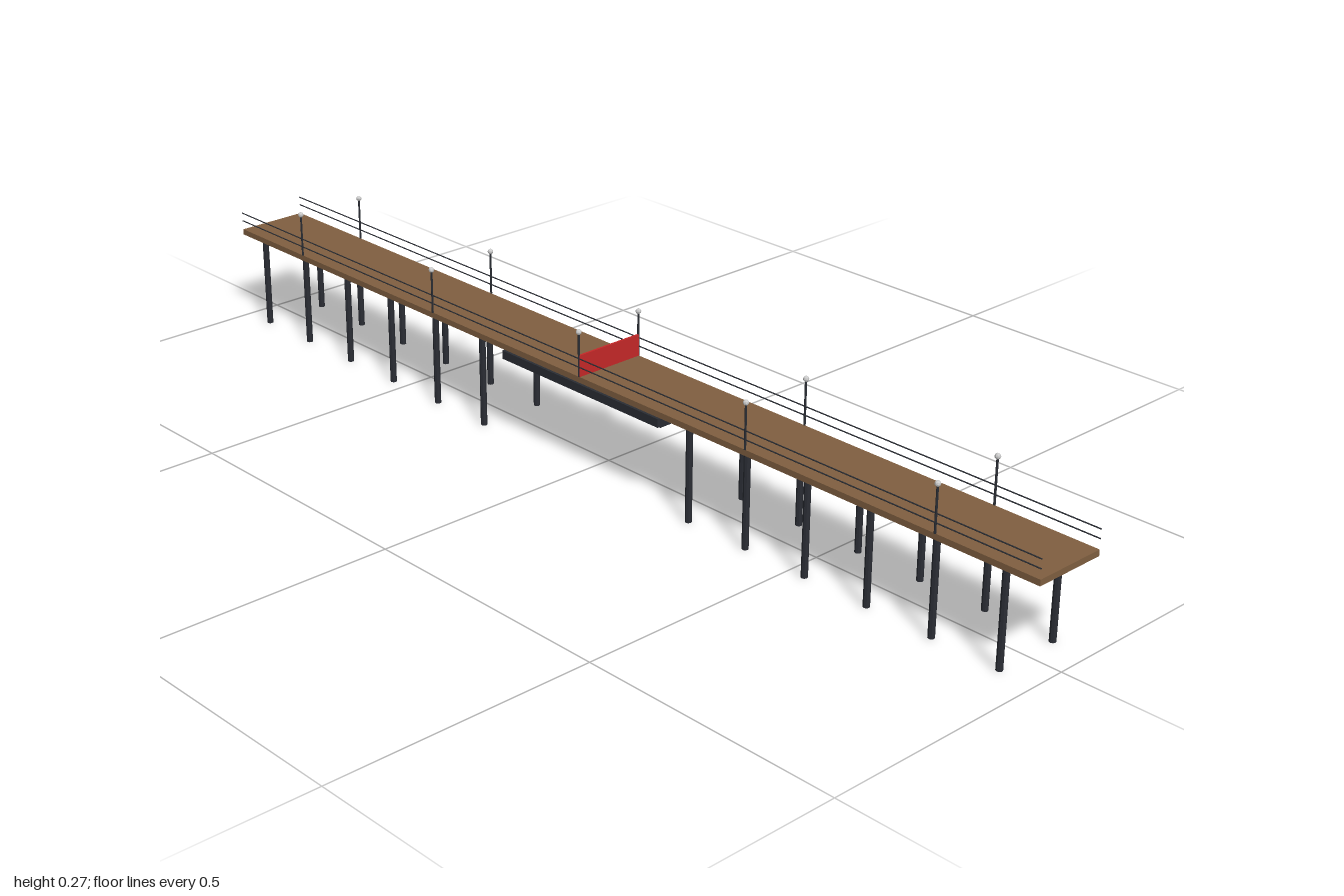
import * as THREE from 'three';

export function createModel() {
  const model = new THREE.Group();
  const mat = (color) => new THREE.MeshStandardMaterial({ color, flatShading: true });
  const wood = mat(0x805f40), steel = mat(0x2a2d34), red = mat(0xc62828), glass = mat(0xcccccc);

  const add = (name, geometry, material, x, y, z) => {
    const mesh = new THREE.Mesh(geometry, material);
    mesh.name = name;
    mesh.position.set(x, y, z);
    model.add(mesh);
    return mesh;
  };
  const box = (name, w, h, d, m, x, y, z) => add(name, new THREE.BoxGeometry(w, h, d), m, x, y, z);

  // Walkway
  box('deck', 2, 0.011, 0.14, wood, 0, 0.1765, 0);

  // Shallow steel span under the middle, with edge beams
  box('spanPanel', 0.4, 0.019, 0.134, steel, 0, 0.1615, 0);
  for (const s of [-1, 1]) box('spanEdgeBeam', 0.4, 0.016, 0.007, steel, 0, 0.162, s * 0.07);

  // Pile pairs joined by cross beams
  const pile = new THREE.CylinderGeometry(0.006, 0.006, 0.171, 8);
  for (const side of [-1, 1]) {
    for (let i = 2; i <= 7; i++) {
      const x = side * i * 2 / 15;
      for (const s of [-1, 1]) add('pile', pile, steel, x, 0.0855, s * 0.064);
      box('crossBeam', 0.007, 0.008, 0.134, steel, x, 0.167, 0);
    }
  }

  // Lamp posts with small globes, and two handrail lines on each side
  const post = new THREE.CylinderGeometry(0.002, 0.002, 0.081, 6);
  const globe = new THREE.SphereGeometry(0.0052, 8, 6);
  const rail = new THREE.CylinderGeometry(0.0011, 0.0011, 2, 6);
  for (const s of [-1, 1]) {
    for (let i = -2; i <= 2; i++) {
      add('lampPost', post, steel, i * 0.4, 0.2225, s * 0.07);
      add('lampGlobe', globe, glass, i * 0.4, 0.2655, s * 0.07);
    }
    for (const y of [0.2, 0.216]) add('handrail', rail, steel, 0, y, s * 0.07).rotation.z = Math.PI / 2;
  }

  // Barrier across the middle
  box('barrier', 0.004, 0.04, 0.14, red, 0, 0.202, 0);

  return model;
}
